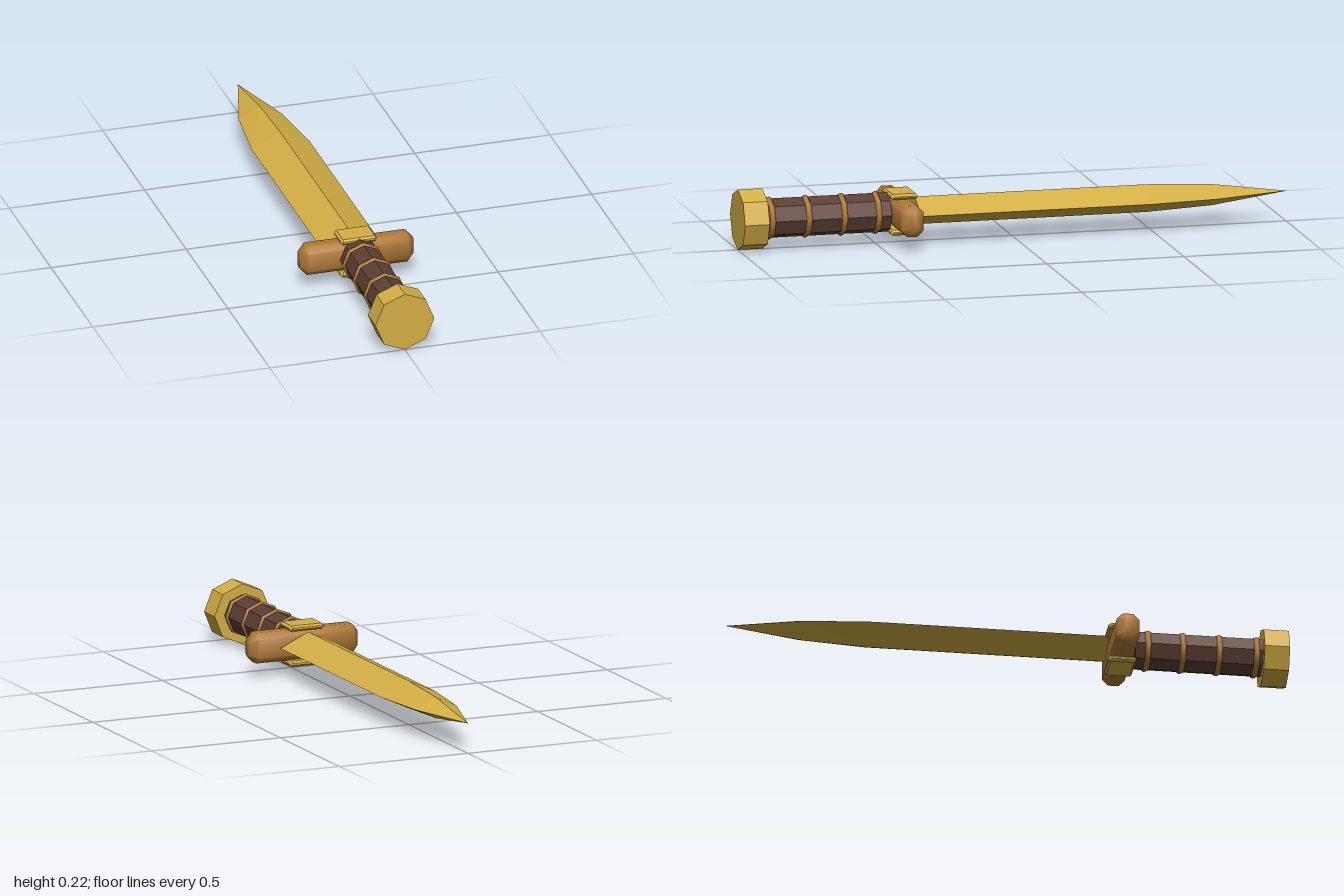
import * as THREE from 'three';
import { toCreasedNormals } from 'three/addons/utils/BufferGeometryUtils.js';

const AXIS_Y = 0.11; // height of the dagger's long axis

function material(name, color, flatShading = false) {
  const m = new THREE.MeshStandardMaterial({ color, flatShading });
  m.name = name;
  return m;
}

function addMesh(parent, name, geometry, mat, y, z) {
  const mesh = new THREE.Mesh(geometry, mat);
  mesh.name = name;
  mesh.position.set(0, y, z);
  parent.add(mesh);
  return mesh;
}

// Octagonal prism along z with a corner pointing up
function octagonPrism(radius, length) {
  return new THREE.CylinderGeometry(radius, radius, length, 8).rotateX(Math.PI / 2);
}

// Box with every edge cut by one bevel, softly shaded
function chamferedBox(w, h, d, cut) {
  const a = d / 2 - cut, b = h / 2 - cut, c = cut;
  const section = new THREE.Shape([
    [a, -b + c * 0.3], [a, b - c * 0.3], [a - c * 0.3, b], [-a + c * 0.3, b],
    [-a, b - c * 0.3], [-a, -b + c * 0.3], [-a + c * 0.3, -b], [a - c * 0.3, -b],
  ].map(([x, y]) => new THREE.Vector2(x, y)));
  const g = new THREE.ExtrudeGeometry(section, {
    depth: w - 2 * cut, bevelEnabled: true, bevelSegments: 1, bevelSize: cut, bevelThickness: cut,
  });
  g.translate(0, 0, -w / 2 + cut).rotateY(Math.PI / 2);
  return toCreasedNormals(g, Math.PI / 3);
}

// Diamond-section blade lofted from [z, half width, half thickness]
function bladeGeometry() {
  const stations = [[0.355, 0.108, 0.05], [-0.49, 0.108, 0.05], [-0.73, 0.08, 0.038], [-1, 0.0005, 0.0005]];
  const positions = [], index = [0, 1, 2, 0, 2, 3];
  stations.forEach(([z, w, h], s) => {
    positions.push(w, 0, z, 0, h, z, -w, 0, z, 0, -h, z);
    if (s === 0) return;
    for (let i = 0; i < 4; i++) {
      const j = (i + 1) % 4, p = (s - 1) * 4, q = s * 4;
      index.push(p + i, q + i, p + j, p + j, q + i, q + j);
    }
  });
  const g = new THREE.BufferGeometry();
  g.setAttribute('position', new THREE.Float32BufferAttribute(positions, 3));
  g.setIndex(index);
  const flat = g.toNonIndexed();
  flat.computeVertexNormals();
  return flat;
}

export function createModel() {
  const gold = material('gold', 0xd4af45, true);
  const wood = material('warm brown', 0xb07a38);
  const leather = material('dark leather', 0x5c4033, true);

  const dagger = new THREE.Group();
  dagger.name = 'dagger';

  addMesh(dagger, 'blade', bladeGeometry(), gold, AXIS_Y, 0);
  addMesh(dagger, 'pommel', octagonPrism(0.109, 0.09), gold, AXIS_Y, 0.955);
  addMesh(dagger, 'grip', octagonPrism(0.071, 0.46), leather, AXIS_Y, 0.685);

  // Bands around the grip
  for (const z of [0.5, 0.625, 0.755, 0.888]) {
    addMesh(dagger, 'gripBand', new THREE.TorusGeometry(0.066, 0.012, 8, 8), wood, AXIS_Y, z);
  }

  // Crossguard with a gold plate above and below
  addMesh(dagger, 'crossguard', chamferedBox(0.42, 0.11, 0.08, 0.024), wood, AXIS_Y, 0.41);
  for (const side of [1, -1]) {
    addMesh(dagger, 'guardPlate', chamferedBox(0.134, 0.021, 0.098, 0.008), gold, AXIS_Y + side * 0.064, 0.408);
  }
  return dagger;
}
